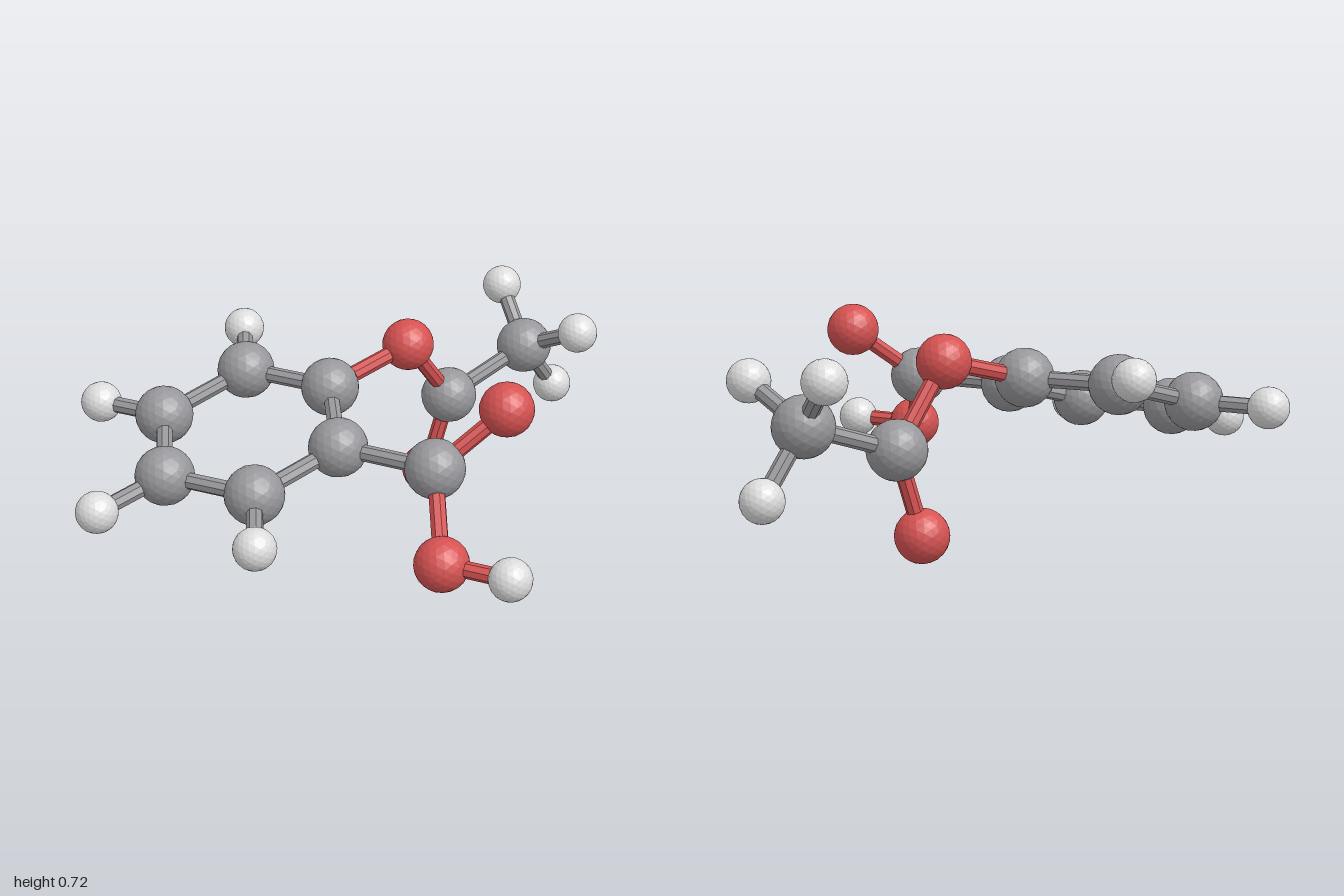
import * as THREE from 'three';

const flat = (name, color) => {
  const m = new THREE.MeshStandardMaterial({ color });
  m.name = name;
  m.flatShading = true;
  return m;
};

export function createModel() {
  const group = new THREE.Group();
  group.name = 'moleculeModel';

  const grey = flat('carbon grey', 0x98989c);
  const red = flat('oxygen red', 0xd65252);
  const white = flat('hydrogen white', 0xdcdcdc);

  const ball = (r) => new THREE.IcosahedronGeometry(r, 3);
  const kinds = {
    carbon: { geometry: ball(0.096), material: grey },
    oxygen: { geometry: ball(0.087), material: red },
    hydrogen: { geometry: ball(0.068), material: white },
  };

  // Atoms: kind and centre
  const atoms = {
    ring1: ['carbon', -0.07, 0.535, -0.23],
    ring2: ['carbon', -0.23, 0.465, 0.04],
    ring3: ['carbon', -0.54, 0.385, 0.025],
    ring4: ['carbon', -0.69, 0.38, -0.265],
    ring5: ['carbon', -0.53, 0.45, -0.53],
    ring6: ['carbon', -0.215, 0.535, -0.515],
    ringH3: ['hydrogen', -0.675, 0.33, 0.23],
    ringH4: ['hydrogen', -0.932, 0.32, -0.278],
    ringH5: ['hydrogen', -0.643, 0.447, -0.75],
    ringH6: ['hydrogen', -0.087, 0.588, -0.72],
    acidCarbon: ['carbon', -0.08, 0.468, 0.347],
    acidDoubleOxygen: ['oxygen', 0.14, 0.637, 0.423],
    acidOxygen: ['oxygen', -0.207, 0.261, 0.545],
    acidHydrogen: ['hydrogen', -0.104, 0.265, 0.747],
    bridgeOxygen: ['oxygen', 0.24, 0.614, -0.212],
    esterCarbon: ['carbon', 0.44, 0.364, -0.238],
    esterDoubleOxygen: ['oxygen', 0.366, 0.09, -0.265],
    methylCarbon: ['carbon', 0.768, 0.473, -0.225],
    methylH1: ['hydrogen', 0.816, 0.634, -0.41],
    methylH2: ['hydrogen', 0.927, 0.275, -0.245],
    methylH3: ['hydrogen', 0.812, 0.584, 0.003],
  };
  const centre = (name) => new THREE.Vector3(...atoms[name].slice(1));

  for (const name in atoms) {
    const { geometry, material } = kinds[atoms[name][0]];
    const mesh = new THREE.Mesh(geometry, material);
    mesh.name = name + 'Ball';
    mesh.position.copy(centre(name));
    group.add(mesh);
  }

  // Bonds: a rod between two centres, red wherever it meets an oxygen
  const bonds = [
    ['ring2', 'acidCarbon'], ['acidCarbon', 'acidDoubleOxygen'],
    ['acidCarbon', 'acidOxygen'], ['acidOxygen', 'acidHydrogen'],
    ['ring1', 'bridgeOxygen'], ['bridgeOxygen', 'esterCarbon'],
    ['esterCarbon', 'esterDoubleOxygen'], ['esterCarbon', 'methylCarbon'],
  ];
  for (let i = 1; i <= 6; i++) bonds.push(['ring' + i, 'ring' + (i % 6 + 1)]);
  for (let i = 3; i <= 6; i++) bonds.push(['ring' + i, 'ringH' + i]);
  for (let i = 1; i <= 3; i++) bonds.push(['methylCarbon', 'methylH' + i]);

  const up = new THREE.Vector3(0, 1, 0);
  for (const [a, b] of bonds) {
    const start = centre(a), end = centre(b);
    const hasOxygen = [a, b].some((n) => atoms[n][0] === 'oxygen');
    const length = start.distanceTo(end);
    const rod = new THREE.Mesh(
      new THREE.CylinderGeometry(0.027, 0.027, length, 8, 1, true),
      hasOxygen ? red : grey);
    rod.name = a + 'To' + b[0].toUpperCase() + b.slice(1) + 'Rod';
    rod.position.copy(start).lerp(end, 0.5);
    rod.quaternion.setFromUnitVectors(up, end.sub(start).normalize());
    group.add(rod);
  }
  return group;
}
